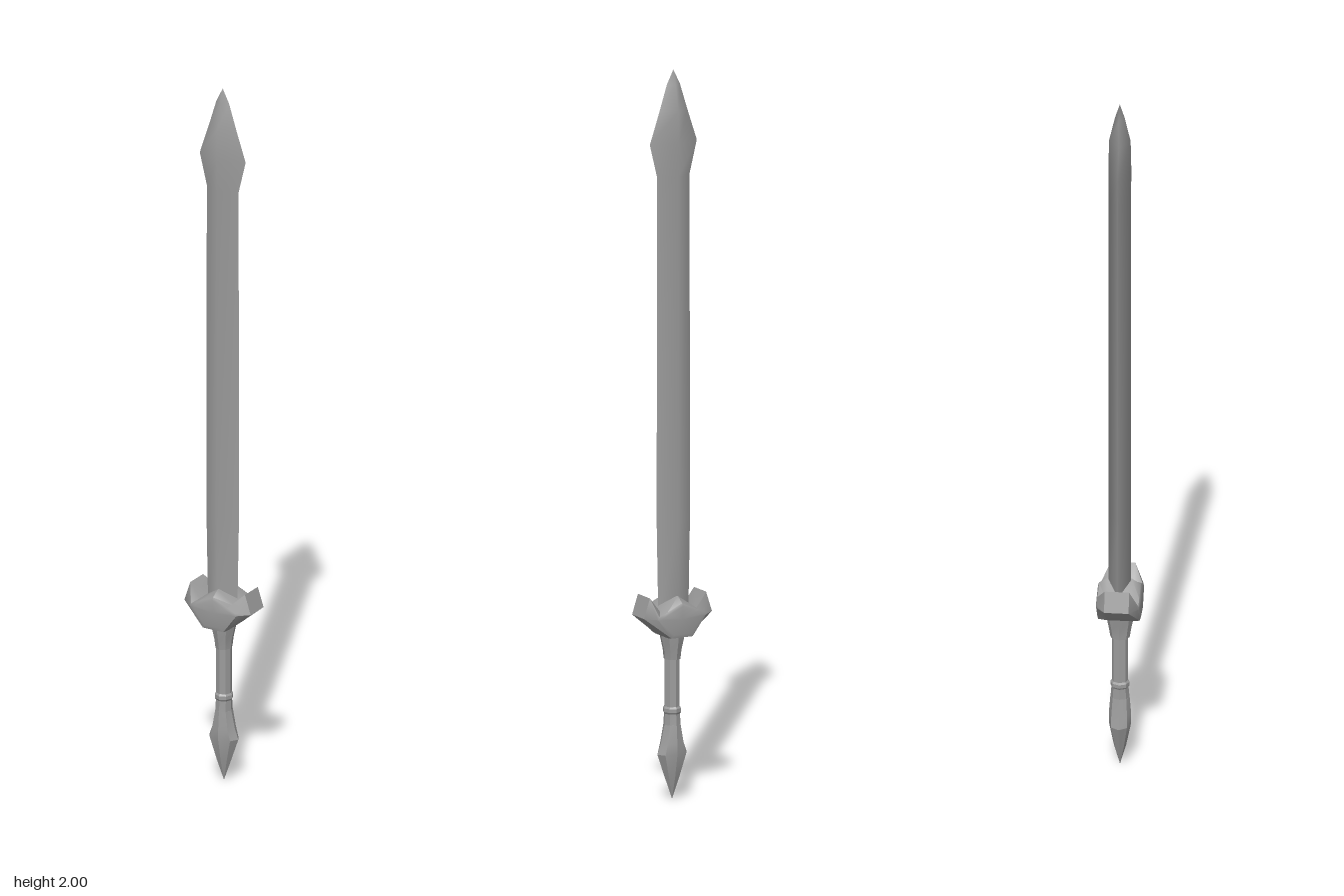
import * as THREE from 'three';
import { toCreasedNormals } from 'three/addons/utils/BufferGeometryUtils.js';

const material = new THREE.MeshStandardMaterial({ color: 0x9b9b9b });

// Skins a stack of rings (counter-clockwise seen from the end) and closes both ends to a point.
function loft(name, rings, start, end, crease) {
  const pos = [];
  const tri = (...pts) => pts.forEach((p) => pos.push(...p));
  const n = rings[0].length;
  const last = rings[rings.length - 1];
  for (let j = 0; j < n; j++) {
    const k = (j + 1) % n;
    tri(start, rings[0][k], rings[0][j]);
    tri(end, last[j], last[k]);
    for (let i = 0; i < rings.length - 1; i++) {
      const a = rings[i], b = rings[i + 1];
      tri(a[j], a[k], b[k]);
      tri(a[j], b[k], b[j]);
    }
  }
  let geo = new THREE.BufferGeometry();
  geo.setAttribute('position', new THREE.Float32BufferAttribute(pos, 3));
  geo = toCreasedNormals(geo, crease);
  const mesh = new THREE.Mesh(geo, material);
  mesh.name = name;
  return mesh;
}

// Horizontal elliptical ring with a given number of sides.
function ring(y, rx, rz, sides, cx = 0) {
  return Array.from({ length: sides }, (_, i) => {
    const a = (i / sides) * Math.PI * 2;
    return [cx + rx * Math.cos(a), y, -rz * Math.sin(a)];
  });
}

export function createModel() {
  const group = new THREE.Group();
  group.name = 'sword';

  // Diamond-section blade with a flared spear-like point: [y, half width, half depth]
  const cx = -0.004;
  const blade = [
    [0.5, 0.046, 0.03], [0.76, 0.051, 0.03], [1.71, 0.05, 0.03],
    [1.8, 0.072, 0.031], [1.89, 0.042, 0.029], [1.96, 0.02, 0.013],
  ].map(([y, w, d]) => ring(y, w, d, 4, cx));
  group.add(loft('blade', blade, [cx, 0.5, 0], [cx, 2, 0], 1.4));

  // Crescent guard: upturned horns in the middle, bevelled hexagonal bosses front and back
  const mirrored = (half) => [
    ...half,
    ...half.slice(0, -1).reverse().map(([x, y]) => [-x, y]),
  ];
  const horns = mirrored([[0.032, 0.45], [0.104, 0.51], [0.086, 0.565], [0.055, 0.525], [0, 0.562]]);
  const boss = mirrored([[0.032, 0.453], [0.073, 0.508], [0.069, 0.515], [0.045, 0.526], [0, 0.547]]);
  const at = (outline, z) => outline.map(([x, y]) => [x, y, z]);
  const face = boss.map(([x, y]) => [x * 0.82, 0.503 + (y - 0.503) * 0.82]);
  group.add(loft('guard',
    [at(face, -0.059), at(boss, -0.056), at(horns, -0.033), at(horns, 0.033), at(boss, 0.056), at(face, 0.059)],
    [0, 0.503, -0.059], [0, 0.503, 0.059], 0.7));

  // Collar under the guard
  const collar = [[0.385, 0.022, 0.026], [0.41, 0.024, 0.03], [0.44, 0.031, 0.036], [0.46, 0.034, 0.038]]
    .map(([y, w, d]) => ring(y, w, d, 8));
  group.add(loft('collar', collar, [0, 0.385, 0], [0, 0.46, 0], 0.5));

  // Grip with a thin band near its lower end
  const grip = [[0.2, 0.023, 0.026], [0.235, 0.022, 0.023], [0.24, 0.025, 0.026],
    [0.25, 0.025, 0.026], [0.255, 0.021, 0.022], [0.4, 0.021, 0.022]]
    .map(([y, w, d]) => ring(y, w, d, 8));
  group.add(loft('grip', grip, [0, 0.2, 0], [0, 0.4, 0], 0.5));

  // Pointed pommel
  const pommel = [[0.06, 0.022, 0.017], [0.125, 0.045, 0.03], [0.155, 0.034, 0.03], [0.205, 0.023, 0.026]]
    .map(([y, w, d]) => ring(y, w, d, 8));
  group.add(loft('pommel', pommel, [0, 0, 0], [0, 0.205, 0], 0.5));

  return group;
}
